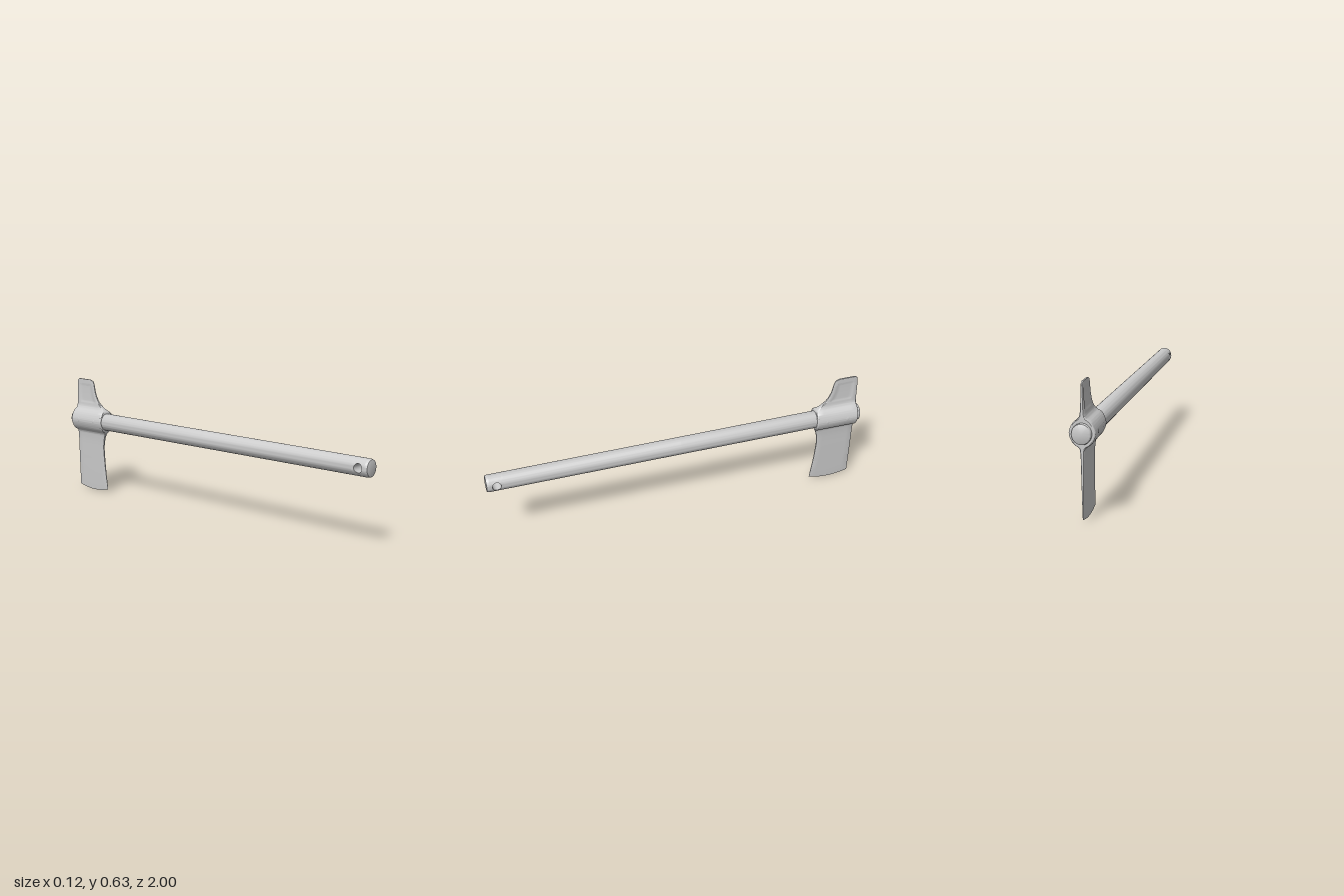
import * as THREE from 'three';
import { toCreasedNormals } from 'three/addons/utils/BufferGeometryUtils.js';
import { ParametricGeometry } from 'three/addons/geometries/ParametricGeometry.js';

const AXIS_Y = 0.405;
const grey = new THREE.MeshStandardMaterial({ color: 0xcccccc });
const { lerp, clamp } = THREE.MathUtils;

function mesh(name, geometry, parent) {
  const m = new THREE.Mesh(geometry, grey);
  m.name = name;
  parent.add(m);
  return m;
}

// Smooth lookup value(y) through [y, value] points
function profile(points) {
  const curve = new THREE.CatmullRomCurve3(points.map(([y, v]) => new THREE.Vector3(y, v, 0)));
  const pts = curve.getPoints(300);
  return (y) => {
    let i = 1;
    while (i < pts.length - 1 && pts[i].x < y) i++;
    const a = pts[i - 1], b = pts[i];
    return lerp(a.y, b.y, clamp((y - a.x) / (b.x - a.x || 1), 0, 1));
  };
}

// Slightly oval, tapering handle with a cross hole near its front end
function buildHandle() {
  const handle = new THREE.Group();
  handle.name = 'handle';
  handle.position.y = AXIS_Y;
  const oval = 0.94;
  const radius = (z) => lerp(0.0475, 0.0445, (z + 1) / 2);
  const holeZ = 0.95, holeR = 0.022, half = 0.035;
  const z0 = holeZ - half, z1 = holeZ + half;

  const turned = (name, pts) => {
    const g = new THREE.LatheGeometry(pts.map(([r, z]) => new THREE.Vector2(r, z)), 48);
    g.rotateX(Math.PI / 2).scale(oval, 1, 1);
    mesh(name, toCreasedNormals(g, 0.7), handle);
  };
  turned('shaft', [[0, -1], [0.041, -1], [0.0455, -0.997], [radius(-0.99), -0.99], [radius(0), 0], [radius(z0), z0]]);
  turned('endCap', [[radius(z1), z1], [radius(1) - 0.001, 0.993], [0.041, 0.999], [0.038, 1], [0, 1]]);

  // Half of the drilled section: spreads from the hole rim to a rectangle wrapped on the shaft
  const tri = (t) => clamp(Math.abs((t % 8) - 4) - 2, -1, 1);
  const rimAngle = (a) => Math.asin((holeR * Math.sin(a)) / radius(holeZ));
  const drilled = (u, v, p) => {
    const a = u * Math.PI * 2;
    const z = holeZ + lerp(holeR * Math.cos(a), half * tri(u * 8), v);
    const th = lerp(rimAngle(a), (Math.PI / 2) * tri(u * 8 + 6), v);
    p.set(oval * radius(z) * Math.cos(th), radius(z) * Math.sin(th), z);
  };
  for (const turn of [0, Math.PI]) {
    const g = new ParametricGeometry(drilled, 96, 8);
    g.rotateZ(turn);
    mesh('drilledSection', toCreasedNormals(g, 0.7), handle);
  }
  mesh('holeWall', new ParametricGeometry((u, v, p) => {
    const a = u * Math.PI * 2;
    const z = holeZ + holeR * Math.cos(a);
    p.set((2 * v - 1) * oval * radius(z) * Math.cos(rimAngle(a)), radius(z) * Math.sin(rimAngle(a)), z);
  }, 96, 2), handle);
  return handle;
}

// Head: stacked sections from cutting edge, through the round socket, to the upper tab
function buildHead() {
  const halfWidth = profile([
    [0, 0.0006], [0.03, 0.002], [0.1, 0.0038], [0.2, 0.006], [0.31, 0.009], [0.335, 0.013],
    [0.344, 0.022], [0.352, 0.035], [0.37, 0.049], [0.405, 0.06], [0.44, 0.049], [0.457, 0.036],
    [0.467, 0.022], [0.48, 0.013], [0.5, 0.009], [0.55, 0.006], [0.633, 0.004]]);
  const frontEdge = profile([
    [0, -0.75], [0.1, -0.763], [0.2, -0.773], [0.26, -0.776], [0.31, -0.768], [0.35, -0.753],
    [0.37, -0.75], [0.44, -0.75], [0.46, -0.753], [0.48, -0.775], [0.51, -0.81], [0.555, -0.835],
    [0.61, -0.848], [0.625, -0.856], [0.633, -0.875]]);
  const backEdge = profile([[0, -0.977], [0.3, -0.979], [0.61, -0.98], [0.625, -0.977], [0.633, -0.965]]);

  const rows = [];
  const span = (a, b, n) => { for (let i = 0; i < n; i++) rows.push(lerp(a, b, i / n)); };
  span(0, 0.31, 20);
  span(0.31, 0.502, 64);
  span(0.502, 0.507, 1);
  span(0.507, 0.6, 12);
  span(0.6, 0.605, 1);
  span(0.605, 0.633, 10);
  rows.push(0.633);
  const cols = [0, 0.01, 0.025, 0.16, 0.185, 0.3, 0.4, 0.5, 0.6, 0.7, 0.815, 0.84, 0.975, 0.99, 1];
  const n = cols.length, ring = 2 * n;

  const pos = [], idx = [];
  for (const y of rows) {
    const w = halfWidth(y), zb = backEdge(y), zf = frontEdge(y);
    const bevel = Math.min(0.006, w * 0.35);
    for (let k = 0; k < ring; k++) {
      const s = cols[k < n ? k : ring - 1 - k];
      const rim = clamp(1 - Math.min(s, 1 - s) / 0.025, 0, 1);
      // recessed panel on both faces of the tab
      const sunk = y > 0.506 && y < 0.601 && s > 0.18 && s < 0.82 ? 0.0016 : 0;
      const x = w * (1 - 0.1 * s) - bevel * rim * rim - sunk;
      // bowed cutting edge
      const bow = 0.016 * (2 * s - 1) ** 2 * Math.max(0, 1 - y / 0.15);
      pos.push(k < n ? x : -x, y + bow, lerp(zb, zf, s));
    }
  }
  const top = (rows.length - 1) * ring;
  for (let r = 0; r < top; r += ring) {
    for (let k = 0; k < ring; k++) {
      const a = r + k, b = r + ((k + 1) % ring);
      idx.push(a, a + ring, b, b, a + ring, b + ring);
    }
  }
  for (let k = 0; k < n - 1; k++) {
    const p = k, q = k + 1, m = ring - 1 - k, o = ring - 2 - k;
    idx.push(p, q, m, q, o, m);
    idx.push(top + p, top + m, top + q, top + q, top + m, top + o);
  }
  const g = new THREE.BufferGeometry();
  g.setAttribute('position', new THREE.Float32BufferAttribute(pos, 3));
  g.setIndex(idx);

  const head = new THREE.Group();
  head.name = 'axeHead';
  mesh('bladeAndSocket', toCreasedNormals(g, 0.45), head);

  // Pins through the socket
  for (const [z, reach] of [[-0.92, 0.059], [-0.805, 0.0555]]) {
    const pts = [[0, -reach - 0.001], [0.008, -reach], [0.011, -reach + 0.002],
      [0.011, reach - 0.002], [0.008, reach], [0, reach + 0.001]];
    const pin = new THREE.LatheGeometry(pts.map(([r, h]) => new THREE.Vector2(r, h)), 24);
    pin.rotateZ(Math.PI / 2);
    mesh('pin', toCreasedNormals(pin, 0.6), head).position.set(0, AXIS_Y + 0.002, z);
  }
  return head;
}

export function createModel() {
  const model = new THREE.Group();
  model.name = 'axe';
  model.add(buildHandle(), buildHead());
  return model;
}
